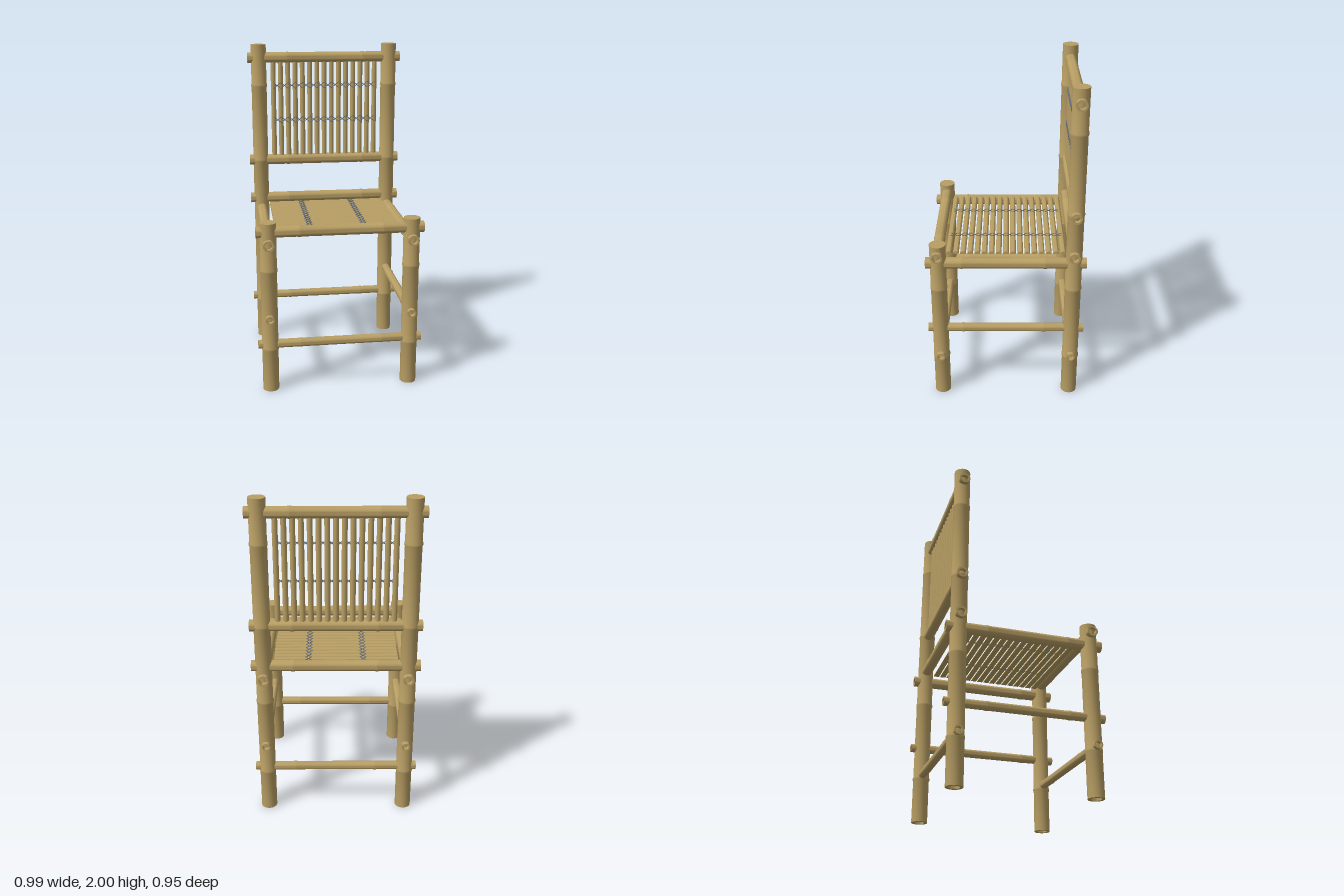
import * as THREE from 'three';
import { toCreasedNormals } from 'three/addons/utils/BufferGeometryUtils.js';

const bamboo = new THREE.MeshStandardMaterial({ color: 0xb89e64 });
bamboo.name = 'bamboo';
const cord = new THREE.MeshStandardMaterial({ color: 0x6c7480 });
cord.name = 'greyCord';

// Hollow-ended pole along y with swollen nodes at the given heights
function poleGeometry(r, y0, y1, nodes, closedTop) {
  const inner = r * 0.66, depth = 0.07;
  const p = [[0, y0 + depth], [inner, y0 + depth], [inner, y0], [r, y0]];
  for (const n of nodes) {
    p.push([r, n - 0.014], [r * 1.07, n - 0.005], [r * 1.07, n + 0.005], [r, n + 0.014]);
  }
  p.push([r, y1]);
  if (closedTop) p.push([0, y1]);
  else p.push([inner, y1], [inner, y1 - depth], [0, y1 - depth]);
  const lathe = new THREE.LatheGeometry(p.map(([x, y]) => new THREE.Vector2(x, y)), 24);
  return toCreasedNormals(lathe, 0.7);
}

export function createModel() {
  const model = new THREE.Group();
  model.name = 'bambooChair';
  const add = (name, geometry, material, x, y, z, parent = model) => {
    const mesh = new THREE.Mesh(geometry, material);
    mesh.name = name;
    mesh.position.set(x, y, z);
    parent.add(mesh);
    return mesh;
  };
  const legX = 0.423, legZ = 0.399;

  // Legs: the back pair carries on up to hold the backrest
  const frontLeg = poleGeometry(0.0485, 0, 1.05, [0.27, 0.76], true);
  const backLeg = poleGeometry(0.0485, 0, 2, [0.27, 0.76, 1.25, 1.74], true);
  for (const s of [-1, 1]) {
    add('frontLeg', frontLeg, bamboo, s * legX, 0, legZ);
    add('backLeg', backLeg, bamboo, s * legX, 0, -legZ);
  }

  // Cross rails, running left to right
  const crossRail = (name, y, z, r) => {
    const g = poleGeometry(r, -0.495, 0.495, [-0.24, 0.25], false);
    add(name, g, bamboo, 0, y, z).rotation.z = -Math.PI / 2;
  };
  for (const z of [-legZ, legZ]) {
    crossRail('seatCrossRail', 0.992, z, 0.033);
    crossRail('lowerStretcher', 0.292, z, 0.026);
  }
  crossRail('backrestLowerRail', 1.25, -legZ, 0.033);
  crossRail('backrestTopRail', 1.916, -legZ, 0.033);

  // Side rails, running front to back
  for (const x of [-legX, legX]) {
    for (const [name, y, r] of [['seatSideRail', 0.926, 0.033], ['sideStretcher', 0.47, 0.026]]) {
      const g = poleGeometry(r, -0.473, 0.473, [-0.23, 0.26], false);
      add(name, g, bamboo, x, y, 0).rotation.x = Math.PI / 2;
    }
  }

  // Seat of split half-round slats
  const half = new THREE.Shape();
  half.absarc(0, 0, 0.0172, 0, Math.PI, false);
  half.closePath();
  const slat = toCreasedNormals(new THREE.ExtrudeGeometry(half,
    { depth: 0.746, bevelEnabled: false, curveSegments: 10 }), 0.7);
  slat.translate(0, 0, -0.373);
  slat.rotateY(Math.PI / 2);
  const seat = new THREE.Group();
  seat.name = 'seat';
  model.add(seat);
  const seatPitch = 0.0423;
  for (let i = 0; i < 17; i++) {
    add('seatSlat', slat, bamboo, 0, 0.957, (i - 8) * seatPitch, seat);
  }

  // Backrest of upright round slats
  const backrest = new THREE.Group();
  backrest.name = 'backrest';
  model.add(backrest);
  const backPitch = 0.0473;
  const upright = new THREE.CylinderGeometry(0.016, 0.016, 0.66, 16);
  for (let i = 0; i < 15; i++) {
    add('backSlat', upright, bamboo, (i - 7) * backPitch, 1.583, -legZ, backrest);
  }

  // Rows of crossed cords binding neighbouring slats
  const up = new THREE.Vector3(0, 1, 0);
  const lashing = (parent, count, pitch, along, across, origin) => {
    for (let i = 0; i < count; i++) {
      for (const s of [-1, 1]) {
        const dir = along.clone().multiplyScalar(pitch).addScaledVector(across, s * 0.038);
        const c = origin.clone().addScaledVector(along, (i - (count - 1) / 2) * pitch);
        const g = new THREE.CylinderGeometry(0.0026, 0.0026, dir.length(), 6);
        add('lashing', g, cord, c.x, c.y, c.z, parent)
          .quaternion.setFromUnitVectors(up, dir.normalize());
      }
    }
  };
  const X = new THREE.Vector3(1, 0, 0), Z = new THREE.Vector3(0, 0, 1);
  for (const x of [-0.164, 0.164]) {
    lashing(seat, 16, seatPitch, Z, X, new THREE.Vector3(x, 0.974, 0));
  }
  for (const y of [1.515, 1.738]) {
    lashing(backrest, 14, backPitch, X, up, new THREE.Vector3(0, y, -legZ + 0.016));
  }
  return model;
}
